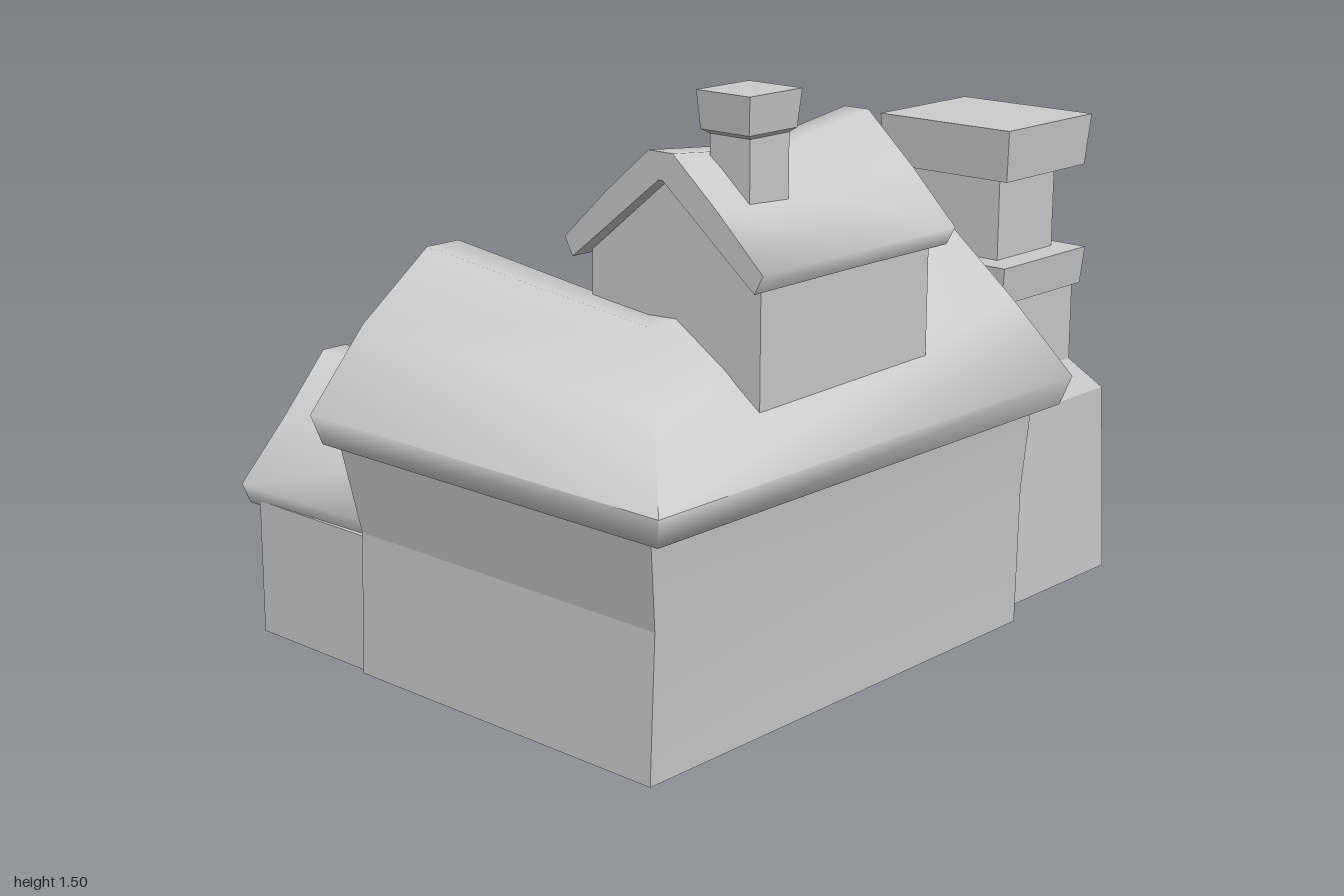
import * as THREE from 'three';
import { toCreasedNormals } from 'three/addons/utils/BufferGeometryUtils.js';

// Walls and hearth are open below, so both sides show
const material = new THREE.MeshStandardMaterial({ color: 0xcccccc, side: THREE.DoubleSide });
const lerp = THREE.MathUtils.lerp;

// Skin a row of matching cross-sections (even point count) and cap the ends.
// open: 'cap' leaves out the first end, 'strip' the side between last and first point.
function loft(sections, crease = 0.3, open = '') {
  const n = sections[0].length;
  const skin = [], strip = [], startCap = [], endCap = [];
  const quad = (list, a, b, c, d) => list.push(a, b, c, a, c, d);
  for (let s = 0; s < sections.length - 1; s++) {
    for (let i = 0; i < n; i++) {
      const j = (i + 1) % n, p = s * n, q = p + n;
      quad(j ? skin : strip, p + i, p + j, q + j, q + i);
    }
  }
  const e = (sections.length - 1) * n;
  for (let i = 0; i < n / 2 - 1; i++) {
    quad(startCap, i, n - 1 - i, n - 2 - i, i + 1);
    quad(endCap, e + i, e + i + 1, e + n - 2 - i, e + n - 1 - i);
  }
  // The sign of the closed volume tells whether the skin faces outward
  const pts = sections.flat().map(p => new THREE.Vector3(...p));
  const all = [...skin, ...strip, ...startCap, ...endCap];
  let volume = 0;
  for (let i = 0; i < all.length; i += 3) {
    volume += pts[all[i]].dot(pts[all[i + 1]].clone().cross(pts[all[i + 2]]));
  }
  const index = [...skin, ...endCap];
  if (open !== 'strip') index.push(...strip);
  if (open !== 'cap') index.push(...startCap);
  const g = new THREE.BufferGeometry();
  g.setAttribute('position', new THREE.Float32BufferAttribute(sections.flat(2), 3));
  g.setIndex(volume < 0 ? index.reverse() : index);
  return toCreasedNormals(g, crease);
}

// Rectangular stack, open below; each level is [y, x0, x1, z0, z1].
const stack = levels => loft(
  levels.map(([y, a, b, c, d]) => [[a, y, c], [b, y, c], [b, y, d], [a, y, d]]), 0.3, 'cap');

// Thick pitched roof; each station is [x, z, x, z, ridgeY, eaveY, bow], from one eave to the other.
const pitch = [[0, 0], [0.22, 0.52], [0.44, 0.99], [0.56, 0.99], [0.78, 0.52], [1, 0]];
const soffit = [[0.04, 0], [0.22, 0.39], [0.49, 0.98], [0.51, 0.98], [0.78, 0.39], [0.96, 0]];
function roof(stations, thick) {
  return loft(stations.map(([x0, z0, x1, z1, ridge, eave, bow = 0]) => {
    const at = (t, h, low, high) => [lerp(x0, x1, t) - 4 * bow * h * (1 - h), lerp(low, high, h), lerp(z0, z1, t)];
    const top = pitch.map(([t, h]) => at(t, h, eave, ridge));
    const under = soffit.map(([t, h]) => at(t, h, eave - thick, ridge - thick * 1.4));
    return [...top, ...under.reverse()];
  }), 1.42);
}

// Gabled walls, open below; each station is [x, z, x, z, apexY, eaveY, bottomY].
function gable(stations) {
  return loft(stations.map(([x0, z0, x1, z1, apex, eave, low]) => {
    const mx = (x0 + x1) / 2, mz = (z0 + z1) / 2;
    return [[x0, low, z0], [x0, eave, z0], [mx, apex, mz], [mx, apex, mz], [x1, eave, z1], [x1, low, z1]];
  }), 0.3, 'strip');
}

export function createModel() {
  const group = new THREE.Group();
  const add = (name, geometry, parent = group) => {
    const m = new THREE.Mesh(geometry, material);
    m.name = name;
    parent.add(m);
    return m;
  };
  const box = (name, x, y, z, w, h, d, parent) => {
    const m = add(name, new THREE.BoxGeometry(w, h, d), parent);
    m.position.set(x, y, z);
    return m;
  };

  // L-shaped house: walls flare out above the lower storey
  const plan = (y, left, right, front, inX, inZ, back) => [
    [left, y, front], [right, y, front], [right, y, back], [inX, y, back], [inX, y, inZ], [left, y, inZ]];
  add('houseWalls', loft([
    plan(0.04, -0.14, 0.82, 0.91, 0.13, 0.2, -0.46),
    plan(0.4, -0.14, 0.825, 0.9, 0.13, 0.2, -0.46),
    plan(0.64, -0.17, 0.85, 0.94, 0.1, 0.17, -0.46)], 0.1, 'cap'));
  add('houseGables', gable([
    [-0.16, 0.93, -0.16, 0.18, 0.94, 0.62, 0.6],
    [0.84, 0.93, 0.11, 0.18, 0.87, 0.62, 0.6],
    [0.84, -0.45, 0.11, -0.45, 0.92, 0.62, 0.6]]));
  add('houseRoof', roof([
    [-0.21, 0.99, -0.21, 0.12, 1.05, 0.7, 0.025],
    [0.92, 0.99, 0.05, 0.12, 0.975, 0.7],
    [0.92, -0.53, 0.05, -0.53, 1.03, 0.7]], 0.08));

  // Low side extension
  add('sideWalls', gable([
    [-0.56, 0.88, -0.56, 0.3, 0.65, 0.38, 0.03],
    [-0.12, 0.88, -0.12, 0.3, 0.59, 0.38, 0.03]]));
  add('sideRoof', roof([
    [-0.605, 0.9, -0.605, 0.27, 0.72, 0.42, -0.012],
    [-0.14, 0.89, -0.14, 0.27, 0.66, 0.42]], 0.055));

  // Upper storey with a sagging ridge
  add('upperWalls', gable([
    [0.27, 0.52, 0.79, 0.52, 1.31, 1.1, 0.79],
    [0.27, -0.09, 0.79, -0.09, 1.31, 1.1, 0.79]]));
  add('upperRoof', roof([
    [0.22, 0.56, 0.83, 0.56, 1.37, 1.13],
    [0.225, 0.2, 0.825, 0.2, 1.335, 1.13],
    [0.22, -0.14, 0.83, -0.14, 1.385, 1.13]], 0.045));

  // Small open tent-shaped dormer on the inner slope
  const tent = [
    [0.1, 0.75, -0.4], [0.05, 0.94, -0.185], [0.1, 0.75, 0.03],
    [0.1, 0.71, -0.01], [0.06, 0.88, -0.185], [0.1, 0.71, -0.36]];
  add('dormerRoof', loft([tent, tent.map((p, i) => [0.42, i < 3 ? 0.96 : 0.91, -0.18])], 1.3));

  // Chimneys
  add('smallChimney', stack([
    [1.23, 0.57, 0.69, 0.31, 0.445], [1.4, 0.57, 0.69, 0.31, 0.445],
    [1.41, 0.555, 0.7, 0.295, 0.46], [1.5, 0.55, 0.71, 0.29, 0.47]]));
  add('largeChimney', stack([
    [0.03, 0.165, 0.735, -1, -0.475], [0.54, 0.18, 0.72, -0.98, -0.485],
    [0.63, 0.29, 0.67, -0.89, -0.575], [0.835, 0.29, 0.67, -0.89, -0.585],
    [0.836, 0.28, 0.68, -0.91, -0.555], [0.935, 0.28, 0.69, -0.915, -0.55],
    [0.936, 0.34, 0.62, -0.86, -0.615], [1.155, 0.34, 0.62, -0.86, -0.615],
    [1.156, 0.29, 0.68, -0.91, -0.56], [1.29, 0.28, 0.69, -0.92, -0.55]]));
  box('chimneyBrace', 0.45, 0.26, -0.47, 0.5, 0.16, 0.06);

  // Forge hearth running out from the chimney
  const hearth = (near, far) => [
    [-0.48, 0.03, near], [-0.46, 0.09, near], [-0.32, 0.24, lerp(near, far, 0.3)],
    [-0.22, 0.26, lerp(near, far, 0.4)], [0.38, 0.26, far], [0.38, 0, far]];
  add('hearth', loft([hearth(-0.95, -0.91), hearth(-0.52, -0.56)], 0.3, 'strip'));
  const flue = z => [[-0.08, 0.24, z], [-0.08, 0.48, z], [0.2, 0.52, z], [0.2, 0.24, z]];
  add('hearthFlue', loft([flue(-0.83), flue(-0.66)]));

  // Grinding wheel between two posts
  const grinder = new THREE.Group();
  grinder.name = 'grinder';
  grinder.position.set(-0.14, 0, -0.74);
  group.add(grinder);
  const wheel = add('wheel', new THREE.CylinderGeometry(0.09, 0.09, 0.17, 12), grinder);
  wheel.rotation.x = Math.PI / 2;
  wheel.position.y = 0.48;
  for (const s of [-1, 1]) {
    box('post', 0, 0.39, s * 0.11, 0.14, 0.32, 0.045, grinder);
    const nut = add('axleNut', new THREE.CylinderGeometry(0.045, 0.045, 0.03, 6).toNonIndexed(), grinder);
    nut.geometry.computeVertexNormals();
    nut.rotation.x = Math.PI / 2;
    nut.position.set(0, 0.47, s * 0.147);
  }

  // Anvil on a flared foot
  const anvil = new THREE.Group();
  anvil.name = 'anvil';
  anvil.position.set(-0.71, 0, -0.585);
  anvil.rotation.y = 1.13;
  group.add(anvil);
  add('anvilFoot', stack([
    [0.04, -0.16, 0.16, -0.15, 0.15], [0.17, -0.08, 0.08, -0.06, 0.06], [0.22, -0.08, 0.08, -0.06, 0.06]]), anvil);
  const lens = (y, l, w) => [
    [-l, y, -0.3 * w], [-0.4 * l, y, -w], [0.4 * l, y, -w], [l, y, -0.25 * w],
    [l, y, 0.25 * w], [0.4 * l, y, w], [-0.4 * l, y, w], [-l, y, 0.3 * w]];
  add('anvilTop', loft([lens(0.18, 0.14, 0.08), lens(0.23, 0.25, 0.12), lens(0.325, 0.265, 0.125), lens(0.34, 0.25, 0.1)], 1.2), anvil);

  // Work table with flared legs
  const table = new THREE.Group();
  table.name = 'workTable';
  table.position.set(-0.46, 0, 0.175);
  group.add(table);
  box('tableTop', 0, 0.17, 0, 0.6, 0.04, 0.35, table);
  for (const x of [-0.24, 0.24]) for (const z of [-0.12, 0.12]) {
    add('tableLeg', stack([
      [0.04, x - 0.035, x + 0.035, z - 0.035, z + 0.035],
      [0.15, x - 0.02, x + 0.02, z - 0.02, z + 0.02]]), table);
  }

  // Daggers lying on the table: [x, z, turn]
  const bladeShape = new THREE.Shape([[-0.018, 0], [0.018, 0], [0.032, 0.13], [0, 0.23], [-0.032, 0.13]].map(p => new THREE.Vector2(...p)));
  const bladeGeometry = new THREE.ExtrudeGeometry(bladeShape, { depth: 0.012, bevelEnabled: false }).rotateX(-Math.PI / 2);
  for (const [x, z, turn] of [[-0.45, 0.21, -0.65], [-0.28, 0.22, -0.22]]) {
    const dagger = new THREE.Group();
    dagger.name = 'dagger';
    dagger.position.set(x, 0.2, z);
    dagger.rotation.y = turn;
    group.add(dagger);
    add('blade', bladeGeometry, dagger);
    box('guard', 0, 0.006, 0, 0.11, 0.02, 0.016, dagger);
    box('grip', 0, 0.006, 0.035, 0.018, 0.018, 0.06, dagger);
  }

  // Tapered metal plate resting on the table
  const plate = add('plate', stack([
    [0, -0.1, 0.1, -0.09, 0.09], [0.025, -0.08, 0.09, -0.075, 0.08]]));
  plate.position.set(-0.62, 0.195, 0.17);
  plate.rotation.set(0, 0.55, 0.1);

  return group;
}
